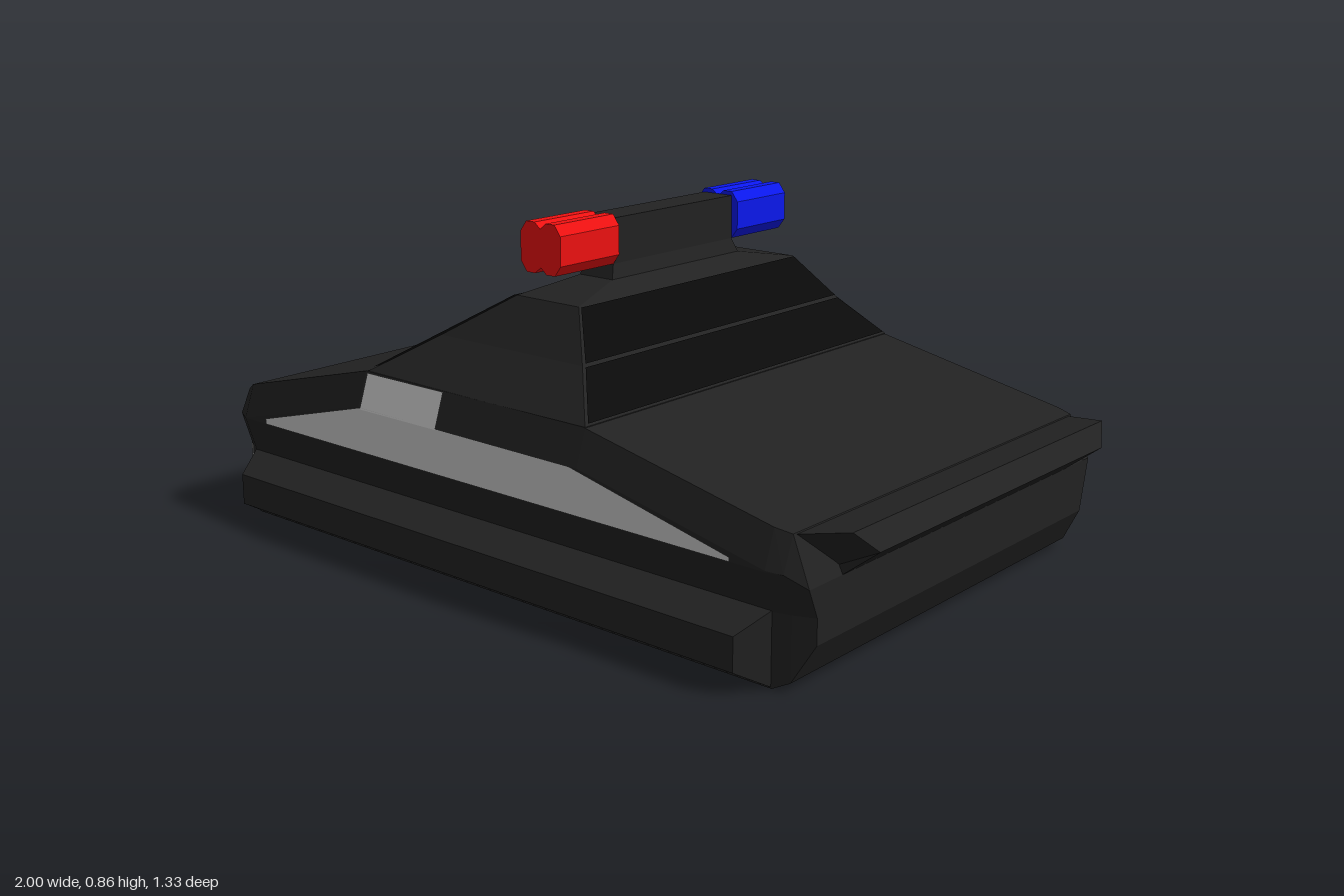
import * as THREE from 'three';

const paint = new THREE.MeshStandardMaterial({ color: 0x222222 });
const glass = new THREE.MeshStandardMaterial({ color: 0x0a0a0a, side: THREE.DoubleSide });
const white = new THREE.MeshStandardMaterial({ color: 0xcccccc, side: THREE.DoubleSide });
const metal = new THREE.MeshStandardMaterial({ color: 0x888888 });
const red = new THREE.MeshStandardMaterial({ color: 0xee1111 });
const blue = new THREE.MeshStandardMaterial({ color: 0x0b18ee });

// Faceted skin over rings of points; rings run counter-clockwise seen from the loft's end
function loft(rings, capped = true) {
  const pos = [];
  const tri = (a, b, c) => pos.push(...a, ...b, ...c);
  const n = rings[0].length;
  for (let i = 0; i < rings.length - 1; i++) {
    for (let j = 0; j < n; j++) {
      const k = (j + 1) % n, p = rings[i], q = rings[i + 1];
      tri(p[j], p[k], q[k]);
      tri(p[j], q[k], q[j]);
    }
  }
  if (capped) {
    const first = rings[0], last = rings[rings.length - 1];
    for (let j = 1; j < n - 1; j++) {
      tri(first[0], first[j + 1], first[j]);
      tri(last[0], last[j], last[j + 1]);
    }
  }
  const geo = new THREE.BufferGeometry();
  geo.setAttribute('position', new THREE.Float32BufferAttribute(pos, 3));
  geo.computeVertexNormals();
  return geo;
}

function quad(a, b, c, d) {
  const geo = new THREE.BufferGeometry();
  geo.setAttribute('position', new THREE.Float32BufferAttribute([...a, ...b, ...c, ...a, ...c, ...d], 3));
  geo.computeVertexNormals();
  return geo;
}

export function createModel() {
  const model = new THREE.Group();
  const add = (name, geo, mat) => {
    const mesh = new THREE.Mesh(geo, mat);
    mesh.name = name;
    model.add(mesh);
    return mesh;
  };

  // Lower body: cross-sections along x as [x, bottom, top, inset]
  const stations = [
    [-0.96, 0.07, 0.29, 0.06], [-0.94, 0.03, 0.325, 0.025], [-0.89, 0, 0.35, 0],
    [-0.43, 0, 0.465, 0], [0.3, 0, 0.46, 0], [0.82, 0, 0.353, 0],
    [0.86, 0.02, 0.345, 0.01], [0.91, 0.11, 0.24, 0.03],
  ];
  add('body', loft(stations.map(([x, b, t, inset]) => {
    const half = [
      [b, 0.585], [0.17, 0.585], [Math.min(0.265, t), 0.615],
      [Math.min(t, Math.max(0.265, t - 0.085)), 0.615], [t, 0.585],
    ].map(([y, z]) => [x, y, z - inset]);
    return [...half.map(([px, y, z]) => [px, y, -z]), ...half.reverse()];
  })), paint);

  // Cabin, roof and light bar post: rectangles going up as [y, back x, front x, half width]
  add('cabin', loft([
    [0.45, -0.43, 0.3, 0.585], [0.462, -0.43, 0.3, 0.585], [0.565, -0.26, 0.205, 0.49],
    [0.675, -0.08, 0.12, 0.41], [0.705, -0.035, 0.07, 0.24],
    [0.74, -0.03, 0.06, 0.225], [0.85, -0.03, 0.06, 0.225],
  ].map(([y, a, b, h]) => [[a, y, -h], [a, y, h], [b, y, h], [b, y, -h]])), paint);

  // Windscreen in two panes, rear window in two bands
  for (const s of [-1, 1]) {
    add('windscreen', quad(
      [-0.417, 0.475, s * 0.004], [-0.417, 0.475, s * 0.57],
      [-0.09, 0.674, s * 0.41], [-0.09, 0.674, s * 0.004]), glass);
  }
  for (const [x0, y0, h0, x1, y1, h1] of [
    [0.3, 0.468, 0.575, 0.212, 0.563, 0.487], [0.207, 0.57, 0.482, 0.125, 0.674, 0.407],
  ]) {
    add('rearWindow', quad([x0, y0, h0], [x0, y0, -h0], [x1, y1, -h1], [x1, y1, h1]), glass);
  }

  // Sides: flared skirts and pale door panels with a window tab
  const rect = (x0, x1, y0, y1, z) => [[x0, y0, z], [x1, y0, z], [x1, y1, z], [x0, y1, z]];
  const panel = new THREE.Shape([
    [-0.8, 0.266], [0.73, 0.266], [0.73, 0.276], [0.28, 0.376], [-0.42, 0.38], [-0.8, 0.28],
  ].map(([x, y]) => new THREE.Vector2(x, y)));
  for (const s of [-1, 1]) {
    const rings = [rect(-0.895, 0.82, 0, 0.175, s * 0.58), rect(-0.85, 0.78, 0.05, 0.13, s * 0.665)];
    add('sideSkirt', loft(s > 0 ? rings : rings.reverse()), paint);
    add('doorPanel', new THREE.ShapeGeometry(panel), white).position.z = s * 0.618;
    add('doorTab', quad(
      [-0.42, 0.376, s * 0.619], [-0.15, 0.376, s * 0.619],
      [-0.15, 0.462, s * 0.59], [-0.42, 0.462, s * 0.59]), white);
  }

  // Tail spoiler with swept-in tips
  add('spoiler', loft([-1, 1].map(s => [
    [0.88, 0.25, s * 0.47], [0.91, 0.24, s * 0.47], [1, 0.31, s * 0.47],
    [0.97, 0.36, s * 0.525], [0.86, 0.342, s * 0.565],
  ])), paint);

  // Nose frame: outer shell folding back into the grille opening
  add('grilleFrame', loft([
    [-0.95, 0.06, 0.29, 0.54], [-0.98, 0.085, 0.29, 0.535], [-1, 0.115, 0.255, 0.51],
    [-1, 0.13, 0.24, 0.495], [-0.962, 0.1, 0.255, 0.505],
  ].map(([x, b, t, h]) => [[x, b, -h], [x, b, h], [x, t, h], [x, t, -h]]), false), metal);
  const grille = add('grille', new THREE.BoxGeometry(0.02, 0.17, 1.02), glass);
  grille.position.set(-0.965, 0.177, 0);

  // Beacons: twin-lobed profile extruded along z
  const lobe = [[0, 0.755], [0.018, 0.74], [0.045, 0.74], [0.064, 0.765], [0.064, 0.835], [0.045, 0.86], [0.018, 0.86], [0, 0.845]];
  const outline = [...lobe, ...lobe.slice(1, -1).reverse().map(([x, y]) => [-x, y])];
  const beaconShape = new THREE.Shape(outline.map(([x, y]) => new THREE.Vector2(x, y)));
  for (const [name, z, mat] of [['redBeacon', 0.225, red], ['blueBeacon', -0.425, blue]]) {
    const geo = new THREE.ExtrudeGeometry(beaconShape, { depth: 0.2, bevelEnabled: false });
    add(name, geo, mat).position.set(0.015, 0, z);
  }
  return model;
}
